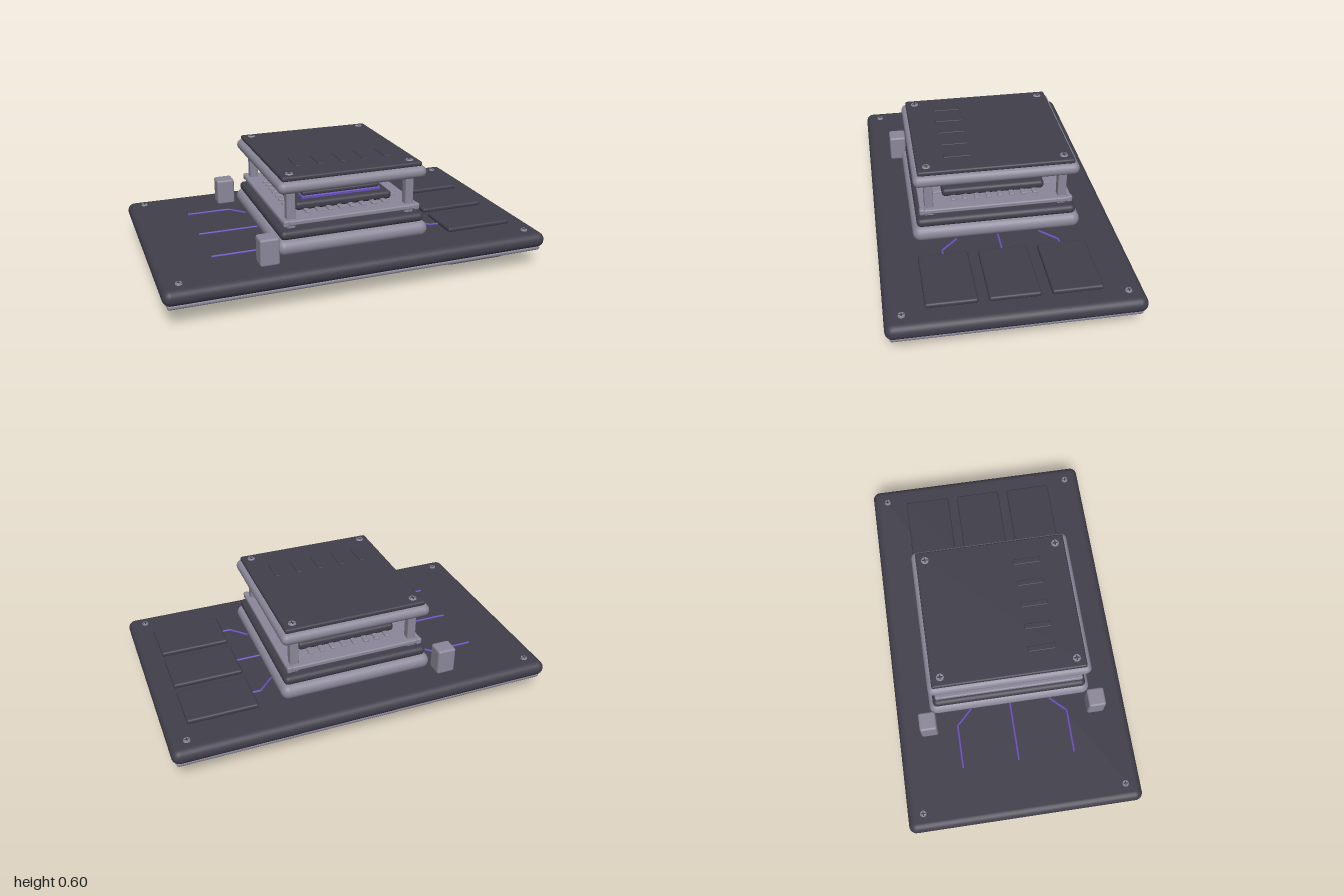
import * as THREE from 'three';
import { RoundedBoxGeometry } from 'three/addons/geometries/RoundedBoxGeometry.js';

const dark = new THREE.MeshStandardMaterial({ color: 0x403e4a, name: 'darkGraphite' });
const light = new THREE.MeshStandardMaterial({ color: 0x8b8799, name: 'greyMetal' });
const purple = new THREE.MeshStandardMaterial({ color: 0x6a50b8, name: 'purpleTrace' });

export function createModel() {
  const model = new THREE.Group();
  model.name = 'circuitModule';

  const add = (name, geo, mat, x, y, z, parent = model) => {
    const mesh = new THREE.Mesh(geo, mat);
    mesh.name = name;
    mesh.position.set(x, y, z);
    parent.add(mesh);
    return mesh;
  };
  // Rounded slab given by its width, depth, bottom and top
  const slab = (name, mat, w, d, y0, y1, x = 0, z = 0, r = 1, parent = model) => {
    const h = y1 - y0;
    const radius = Math.min(r, h * 0.49, w * 0.49, d * 0.49);
    return add(name, new RoundedBoxGeometry(w, h, d, 4, radius), mat, x, (y0 + y1) / 2, z, parent);
  };
  // Cross-slotted screw head
  const screw = (name, x, y, z, r, h) => {
    const g = new THREE.Group();
    g.name = name;
    g.position.set(x, y, z);
    add('screwHead', new THREE.CylinderGeometry(r * 0.85, r, h, 16), light, 0, h / 2, 0, g);
    for (const [w, d] of [[r * 1.3, r * 0.3], [r * 0.3, r * 1.3]])
      add('screwSlot', new THREE.BoxGeometry(w, 0.002, d), dark, 0, h, 0, g);
    model.add(g);
  };
  const signs = [-1, 1];

  // Main board and its underside plate
  slab('mainBoard', dark, 2, 1.225, 0.118, 0.198);
  slab('bottomPlate', light, 1.96, 1.185, 0.1, 0.126, 0, 0, 0.012);

  // Pads on top and stacked feet underneath
  for (const z of [-0.297, 0, 0.297]) {
    slab('topPad', dark, 0.36, 0.247, 0.194, 0.22, 0.705, z, 0.011);
    slab('footLower', light, 0.33, 0.24, 0, 0.033, 0.705, z);
    slab('footSpacer', dark, 0.31, 0.22, 0.028, 0.05, 0.705, z, 0.004);
    slab('footUpper', light, 0.33, 0.24, 0.045, 0.078, 0.705, z);
    slab('footCap', dark, 0.31, 0.225, 0.074, 0.09, 0.705, z, 0.006);
    for (const dz of [-0.05, 0, 0.05])
      add('footPin', new THREE.CylinderGeometry(0.008, 0.008, 0.02, 8), light, 0.705, 0.095, z + dz);
  }

  // Stepped socket, carrier plate and chip
  slab('socketBase', light, 0.81, 0.86, 0.196, 0.278);
  slab('socketTop', dark, 0.77, 0.815, 0.274, 0.322);
  slab('carrierPlate', light, 0.73, 0.775, 0.342, 0.368, 0, 0, 0.008);
  slab('chipBase', dark, 0.525, 0.53, 0.366, 0.41, 0, 0, 0.018);
  slab('chipGlowLayer', purple, 0.435, 0.445, 0.408, 0.425, 0, 0, 0.004);
  slab('chipLid', dark, 0.42, 0.43, 0.423, 0.445, 0, 0, 0.009);

  // Contact pins around the chip
  for (const s of signs) {
    for (let i = 0; i < 8; i++) {
      const t = -0.21 + i * 0.06;
      slab('contactPin', light, 0.026, 0.06, 0.364, 0.377, t, s * 0.28, 0.005);
      slab('contactPin', light, 0.06, 0.026, 0.364, 0.377, s * 0.27, t, 0.005);
    }
  }

  // Corner clips, posts, lid screws and board screws
  for (const sx of signs) for (const sz of signs) {
    slab('cornerClip', light, 0.03, 0.03, 0.338, 0.372, sx * 0.35, sz * 0.376, 0.008);
    slab('post', light, 0.045, 0.045, 0.315, 0.52, sx * 0.318, sz * 0.34, 0.006);
    screw('lidScrew', sx * 0.32, 0.596, sz * 0.344, 0.021, 0.006);
    screw('boardScrew', sx * 0.912, 0.197, sz * 0.53, 0.018, 0.009);
  }

  // Raised lid with vents
  slab('lidFrame', light, 0.785, 0.832, 0.513, 0.575);
  slab('lidPlate', dark, 0.74, 0.785, 0.572, 0.597, 0, 0, 0.01);
  for (let i = -2; i <= 2; i++)
    slab('lidVent', dark, 0.03, 0.14, 0.59, 0.602, i * 0.12, 0.18, 0.004);

  // Upright connector blocks
  for (const s of signs)
    slab('connectorBlock', light, 0.098, 0.09, 0.194, 0.335, -0.465, s * 0.446, 0.012);

  // Traces running out of the socket on both sides
  const trace = (points) => {
    const path = new THREE.CurvePath();
    for (let i = 1; i < points.length; i++)
      path.add(new THREE.LineCurve3(
        new THREE.Vector3(points[i - 1][0], 0, points[i - 1][1]),
        new THREE.Vector3(points[i][0], 0, points[i][1])));
    add('trace', new THREE.TubeGeometry(path, 24, 0.006, 8), purple, 0, 0.2, 0);
  };
  for (const end of [-0.71, 0.53]) {
    const s = Math.sign(end);
    trace([[end, 0], [s * 0.395, 0]]);
    for (const sz of signs)
      trace([[end, sz * 0.295], [s * 0.48, sz * 0.295], [s * 0.4, sz * 0.213]]);
  }
  return model;
}
